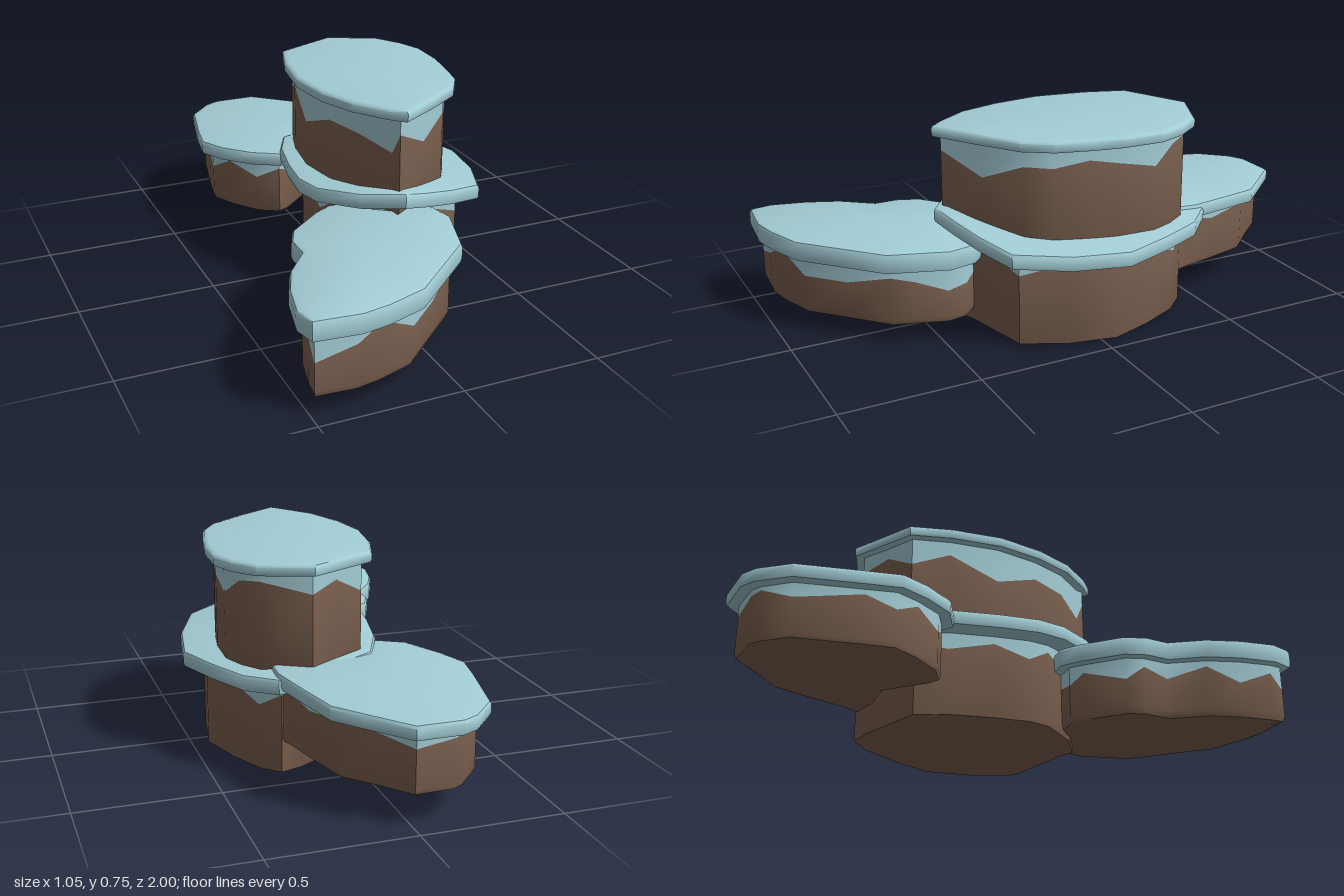
import * as THREE from 'three';
import { toCreasedNormals } from 'three/addons/utils/BufferGeometryUtils.js';

// Each rim point: x, z, height of the snow cap's top, height of the jagged snow line on the wall
const frontRim = [
  [-0.53, 0.9, 0.355, 0.25], [-0.51, 0.985, 0.355, 0.19], [-0.35, 1, 0.355, 0.23], [-0.25, 0.98, 0.355, 0.278],
  [-0.11, 0.93, 0.355, 0.21], [0.02, 0.81, 0.355, 0.21], [0.15, 0.69, 0.355, 0.25], [0.18, 0.6, 0.355, 0.23],
  [0.22, 0.48, 0.355, 0.19], [0.2, 0.38, 0.355, 0.2], [0.08, 0.25, 0.355, 0.25], [-0.13, 0.22, 0.355, 0.21],
  [-0.2, 0.26, 0.355, 0.25], [-0.33, 0.37, 0.355, 0.2], [-0.365, 0.45, 0.355, 0.25], [-0.365, 0.54, 0.355, 0.22],
  [-0.45, 0.65, 0.355, 0.26], [-0.5, 0.77, 0.355, 0.2],
];
const backRim = [
  [-0.14, -1, 0.365, 0.29], [0.02, -1, 0.365, 0.27], [0.13, -0.88, 0.37, 0.3], [0.22, -0.78, 0.375, 0.31],
  [0.27, -0.6, 0.385, 0.29], [0.3, -0.47, 0.39, 0.32], [0.29, -0.34, 0.395, 0.3], [0.05, -0.36, 0.395, 0.32],
  [-0.06, -0.25, 0.395, 0.29], [-0.14, -0.22, 0.39, 0.31], [-0.24, -0.28, 0.39, 0.27], [-0.32, -0.4, 0.38, 0.31],
  [-0.365, -0.51, 0.375, 0.26], [-0.345, -0.63, 0.37, 0.3], [-0.29, -0.87, 0.365, 0.26], [-0.2, -0.97, 0.365, 0.3],
];
const middleRim = [
  [0.05, 0.47, 0.458, 0.34], [-0.08, 0.38, 0.445, 0.3], [-0.18, 0.22, 0.425, 0.34], [-0.2, 0.1, 0.42, 0.29],
  [-0.18, -0.05, 0.415, 0.33], [-0.14, -0.23, 0.41, 0.29], [-0.07, -0.38, 0.4, 0.31], [0.17, -0.49, 0.385, 0.27],
  [0.3, -0.5, 0.375, 0.29], [0.4, -0.4, 0.37, 0.24], [0.47, -0.24, 0.368, 0.29], [0.525, -0.06, 0.362, 0.27],
  [0.49, 0.15, 0.37, 0.31], [0.41, 0.34, 0.385, 0.27], [0.27, 0.4, 0.41, 0.31], [0.15, 0.44, 0.435, 0.3],
];
const topRim = [
  [0.05, 0.47, 0.755, 0.66], [0.2, 0.37, 0.752, 0.585], [0.33, 0.27, 0.748, 0.645], [0.39, 0.17, 0.746, 0.64],
  [0.42, 0.04, 0.744, 0.66], [0.44, -0.07, 0.744, 0.64], [0.445, -0.22, 0.744, 0.61], [0.41, -0.32, 0.745, 0.67],
  [0.35, -0.41, 0.747, 0.68], [0.17, -0.49, 0.75, 0.64], [0.05, -0.43, 0.752, 0.67], [-0.07, -0.37, 0.753, 0.61],
  [-0.12, -0.22, 0.753, 0.66], [-0.15, -0.03, 0.753, 0.58], [-0.13, 0.15, 0.753, 0.64], [-0.08, 0.3, 0.755, 0.63],
  [0, 0.42, 0.755, 0.585],
];

// Ring of the rim moved inwards, with a height rule per rim point
function ring(rim, inset, height) {
  const n = rim.length;
  return rim.map((p, i) => {
    const a = rim[(i + n - 1) % n], b = rim[(i + 1) % n];
    const tx = b[0] - a[0], tz = b[1] - a[1], len = Math.hypot(tx, tz);
    const x = p[0] + (tz / len) * inset, z = p[1] - (tx / len) * inset;
    return [x, height(p, x, z), z];
  });
}

// Skin stacked rings from bottom to top, optionally closing either end
function skin(rings, capBottom, capTop) {
  const pos = [];
  const tri = (...v) => v.forEach((p) => pos.push(...p));
  const n = rings[0].length;
  const centre = (r) => [0, 1, 2].map((k) => r.reduce((s, p) => s + p[k], 0) / n);
  const first = rings[0], last = rings[rings.length - 1];
  for (let i = 0; i < n; i++) {
    const j = (i + 1) % n;
    for (let k = 0; k + 1 < rings.length; k++) {
      const lo = rings[k], hi = rings[k + 1];
      tri(lo[i], lo[j], hi[j], lo[i], hi[j], hi[i]);
    }
    if (capBottom) tri(first[j], first[i], centre(first));
    if (capTop) tri(last[i], last[j], centre(last));
  }
  const g = new THREE.BufferGeometry();
  g.setAttribute('position', new THREE.Float32BufferAttribute(pos, 3));
  return toCreasedNormals(g, 0.7);
}

function plateau(name, rim, { inset, thick, bevel, bottom }) {
  // Make the rim run anticlockwise seen from above
  const area = THREE.ShapeUtils.area(rim.map((p) => new THREE.Vector2(p[0], -p[1])));
  const pts = area > 0 ? rim : [...rim].reverse();
  const group = new THREE.Group();
  group.name = name;
  const add = (part, color, geometry) => {
    const mesh = new THREE.Mesh(geometry, new THREE.MeshStandardMaterial({ color }));
    mesh.name = part;
    group.add(mesh);
  };
  const snowLine = ring(pts, inset, (p) => p[3]);
  const under = ring(pts, inset, (p) => p[2] - thick);

  // Earth wall with a softened lower edge
  add('earthWall', 0x7d6251, skin([
    ring(pts, inset + bevel, (p, x, z) => bottom(x, z)),
    ring(pts, inset + bevel * 0.3, (p, x, z) => bottom(x, z) + bevel * 0.3),
    ring(pts, inset, (p, x, z) => bottom(x, z) + bevel),
    snowLine,
  ], true, false));
  // Jagged snow running down the wall
  add('snowDrips', 0xa3cdd6, skin([snowLine, under], false, false));
  // Overhanging slab with a rounded upper edge
  add('snowCap', 0xa3cdd6, skin([
    under,
    ring(pts, 0.004, (p) => p[2] - thick),
    ring(pts, 0, (p) => p[2] - thick * 0.8),
    ring(pts, 0, (p) => p[2] - thick * 0.25),
    ring(pts, 0.006, (p) => p[2] - thick * 0.07),
    ring(pts, 0.02, (p) => p[2]),
  ], false, true));
  return group;
}

export function createModel() {
  const model = new THREE.Group();
  model.name = 'steppedPlateaus';
  model.add(
    plateau('frontPlateau', frontRim, { inset: 0.04, thick: 0.073, bevel: 0.03, bottom: () => 0.06 }),
    plateau('backPlateau', backRim, { inset: 0.045, thick: 0.052, bevel: 0.02, bottom: (x, z) => 0.125 + 0.015 * z }),
    plateau('middlePlateau', middleRim, {
      inset: 0.085, thick: 0.056, bevel: 0.006,
      bottom: (x, z) => Math.max(0, 0.034 - 0.08 * x + 0.015 * z),
    }),
    plateau('topPlateau', topRim, { inset: 0.037, thick: 0.04, bevel: 0.01, bottom: () => 0.365 }),
  );
  return model;
}
